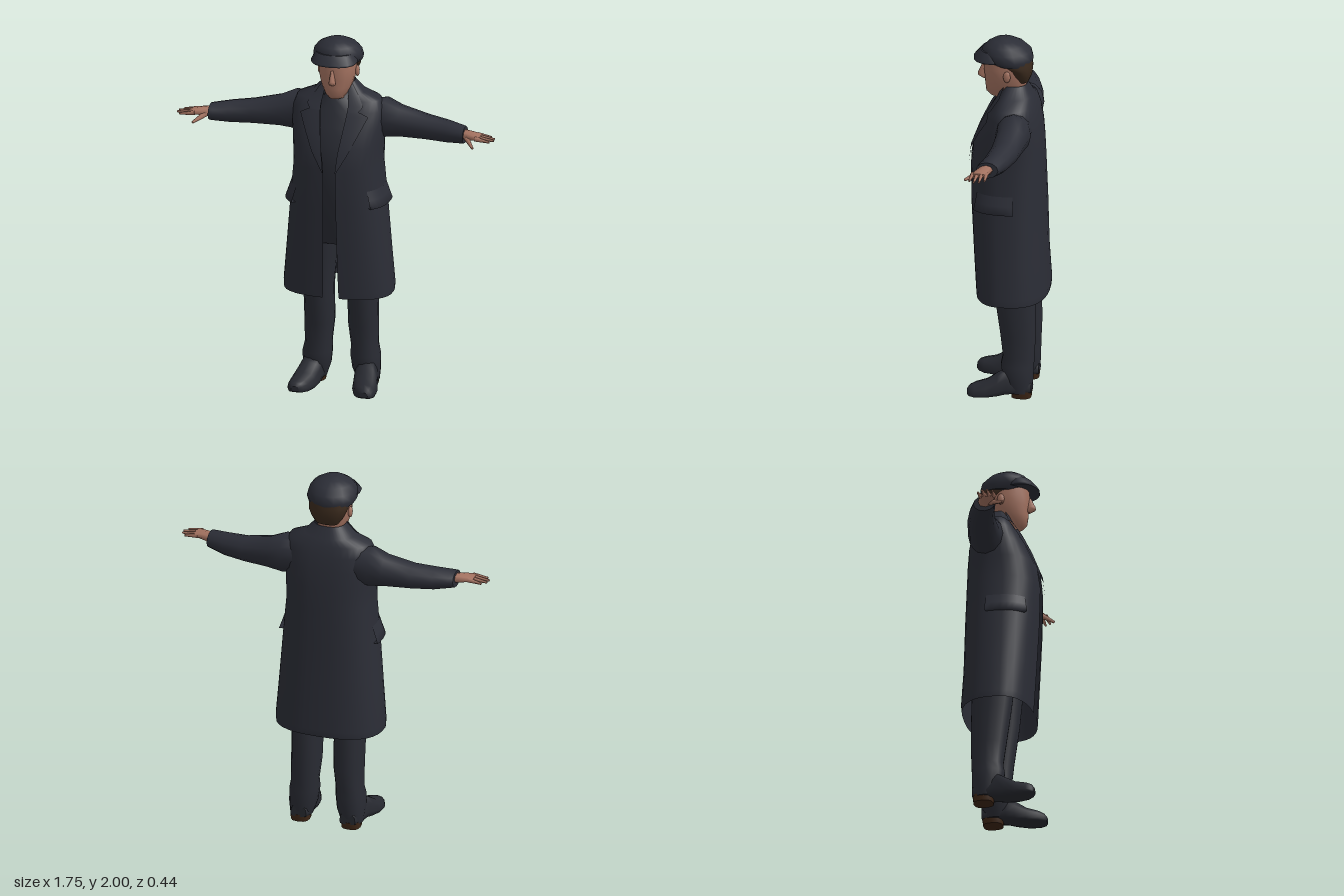
import * as THREE from 'three';

const mat = (name, color, side = THREE.FrontSide) => {
  const m = new THREE.MeshStandardMaterial({ color, side });
  m.name = name;
  return m;
};
const V = (x, y, z) => new THREE.Vector3(x, y, z);
const pw = (v, p) => Math.sign(v) * Math.abs(v) ** p;

// Skin a list of rings; closed rings get end caps and outward faces
function loft(rings, closed = true) {
  const n = rings[0].length, pts = rings.flat(), idx = [];
  for (let i = 0; i < rings.length - 1; i++) {
    for (let j = 0; j < (closed ? n : n - 1); j++) {
      const a = i * n + j, b = i * n + (j + 1) % n;
      idx.push(a, b, a + n, b, b + n, a + n);
    }
  }
  const mid = pts.reduce((s, p) => s.add(p), V(0, 0, 0)).divideScalar(pts.length);
  if (closed) {
    for (const [r, first] of [[rings[0], true], [rings[rings.length - 1], false]]) {
      const c = pts.length;
      pts.push(r.reduce((s, p) => s.add(p), V(0, 0, 0)).divideScalar(n), ...r);
      for (let j = 0; j < n; j++) {
        const a = c + 1 + j, b = c + 1 + (j + 1) % n;
        idx.push(...(first ? [c, b, a] : [c, a, b]));
      }
    }
  }
  let vol = 0;
  for (let k = 0; k < idx.length; k += 3) {
    const [a, b, c] = [0, 1, 2].map(q => pts[idx[k + q]].clone().sub(mid));
    vol += a.dot(b.cross(c));
  }
  if (vol < 0) idx.reverse();
  const g = new THREE.BufferGeometry().setFromPoints(pts);
  g.setIndex(idx);
  g.computeVertexNormals();
  return g;
}

// Upright body from rows of [y, halfWidth, zFront, zBack, xCentre]
const upright = (rows, n = 16, p = 0.9) => loft(rows.map(([y, w, zf, zb, cx = 0]) =>
  Array.from({ length: n }, (_, j) => {
    const a = j / n * Math.PI * 2;
    return V(cx + w * pw(Math.sin(a), p), y, (zf + zb) / 2 + (zf - zb) / 2 * pw(Math.cos(a), p));
  })));

// Sideways limb from rows of [x, yCentre, yRadius, zCentre, zRadius]
const sideways = (rows, s, n = 12) => loft(rows.map(([x, y, ry, z, rz]) =>
  Array.from({ length: n }, (_, j) => {
    const a = j / n * Math.PI * 2;
    return V(s * x, y + ry * Math.cos(a), z + rz * Math.sin(a));
  })));

// Tapered digit between two points
function digit(a, b, r0, r1) {
  const d = b.clone().sub(a);
  const g = new THREE.CylinderGeometry(r1, r0, d.length(), 6);
  g.applyQuaternion(new THREE.Quaternion().setFromUnitVectors(V(0, 1, 0), d.clone().normalize()));
  return g.translate(...a.clone().add(b).multiplyScalar(0.5).toArray());
}

// Coat profile rows: y, halfWidth, zFront, zBack, half opening at the front
const COAT = [
  [0.56, 0.298, 0.18, -0.205, 0.045], [0.6, 0.3, 0.183, -0.21, 0.042],
  [0.8, 0.283, 0.195, -0.197, 0.038], [1.08, 0.26, 0.21, -0.19, 0.034],
  [1.3, 0.24, 0.215, -0.182, 0.032], [1.42, 0.245, 0.2, -0.176, 0.05],
  [1.52, 0.253, 0.155, -0.167, 0.065], [1.6, 0.25, 0.115, -0.152, 0.075],
  [1.655, 0.228, 0.08, -0.135, 0.075], [1.69, 0.14, 0.06, -0.118, 0.07],
  [1.75, 0.085, 0.035, -0.085, 0.06]];
const P = 0.8;
function coatRow(y) {
  let i = 0;
  while (i < COAT.length - 2 && COAT[i + 1][0] < y) i++;
  const t = (y - COAT[i][0]) / (COAT[i + 1][0] - COAT[i][0]);
  return COAT[i].map((v, k) => THREE.MathUtils.lerp(v, COAT[i + 1][k], t));
}
// Point on the coat; angle runs from the middle of the back
function coatPoint(a, y, out = 0) {
  const [, w, zf, zb] = coatRow(y), c = -Math.cos(a);
  return V((w + out) * pw(Math.sin(a), P), y, pw(c, P) * ((c > 0 ? zf : -zb) + out));
}
function coatFrontZ(x, y) {
  const [, w, zf] = coatRow(y), s = Math.min(1, x / w) ** (1 / P);
  return zf * (1 - s * s) ** (P / 2);
}

export function createModel() {
  const model = new THREE.Group();
  model.name = 'manInOvercoat';
  const coat = mat('coat wool', 0x2b2d36, THREE.DoubleSide);
  const suit = mat('suit cloth', 0x292b33);
  const skin = mat('skin', 0xa37260);
  const hair = mat('hair', 0x3a2a1d);
  const leather = mat('shoe leather', 0x272930);
  const sole = mat('heel brown', 0x3d2616);
  const add = (name, geo, m) => {
    const mesh = new THREE.Mesh(geo, m);
    mesh.name = name;
    model.add(mesh);
    return mesh;
  };

  // Overcoat, open down the front
  add('overcoat', loft(COAT.map(([y, w, , , e]) => {
    const end = Math.PI - Math.asin((e / w) ** (1 / P));
    return Array.from({ length: 33 }, (_, j) => coatPoint((j / 16 - 1) * end, y));
  }), false), coat);

  // Suit body seen in the opening
  add('suitBody', upright([
    [0.84, 0.2, 0.1, -0.14], [1.1, 0.2, 0.165, -0.14], [1.3, 0.2, 0.188, -0.14],
    [1.42, 0.2, 0.178, -0.14], [1.52, 0.19, 0.142, -0.13], [1.6, 0.15, 0.108, -0.12],
    [1.66, 0.08, 0.085, -0.09], [1.7, 0.068, 0.05, -0.08]]), suit);

  // Head, neck and nose
  add('head', upright([
    [1.58, 0.058, 0.05, -0.07], [1.665, 0.058, 0.065, -0.07], [1.675, 0.045, 0.115, -0.07],
    [1.7, 0.062, 0.138, -0.075], [1.74, 0.08, 0.143, -0.08], [1.79, 0.095, 0.146, -0.092],
    [1.84, 0.1, 0.152, -0.098], [1.91, 0.098, 0.148, -0.098]], 18), skin);
  add('nose', upright([
    [1.765, 0.014, 0.155, 0.12], [1.78, 0.02, 0.184, 0.12],
    [1.795, 0.015, 0.183, 0.12], [1.85, 0.009, 0.157, 0.12]], 8), skin);
  add('hair', upright([
    [1.765, 0.062, -0.03, -0.095], [1.8, 0.088, -0.005, -0.11],
    [1.84, 0.107, 0.015, -0.115], [1.865, 0.112, 0.06, -0.113], [1.9, 0.11, 0.07, -0.11]]), hair);

  // Flat cap with a short peak
  add('cap', upright([
    [1.868, 0.122, 0.1, -0.11], [1.895, 0.138, 0.15, -0.118], [1.935, 0.13, 0.165, -0.108],
    [1.968, 0.105, 0.135, -0.07], [1.99, 0.065, 0.1, -0.025], [2, 0.02, 0.06, 0.02]], 16, 1), coat);
  add('capPeak', upright([
    [1.886, 0.122, 0.203, 0], [1.897, 0.128, 0.203, 0], [1.94, 0.1, 0.165, 0.02]], 16, 0.9), coat);

  for (const s of [1, -1]) {
    const side = s > 0 ? 'left' : 'right';

    const ear = add(side + 'Ear', new THREE.SphereGeometry(1, 8, 6), skin);
    ear.scale.set(0.012, 0.032, 0.02);
    ear.position.set(s * 0.104, 1.812, 0.012);

    // Lapel and collar: rows of y, inner x, outer x
    add(side + 'Lapel', loft([
      [1.29, 0.033, 0.038], [1.4, 0.045, 0.1], [1.5, 0.06, 0.148], [1.585, 0.072, 0.188],
      [1.605, 0.074, 0.15], [1.61, 0.074, 0.135], [1.635, 0.075, 0.155],
      [1.69, 0.068, 0.118], [1.75, 0.058, 0.078]].map(([y, x0, x1]) =>
      Array.from({ length: 6 }, (_, j) => {
        const x = x0 + (x1 - x0) * j / 5;
        return V(s * x, y, coatFrontZ(x, y) + 0.012);
      })), false), coat);

    // Pocket flap standing off the hip
    add(side + 'PocketFlap', loft([[1.18, 0.002], [1.13, 0.014], [1.085, 0.026], [1.085, 0]].map(([y, out]) =>
      Array.from({ length: 8 }, (_, j) => coatPoint(s * (1.42 + 0.92 * j / 7), y, out))), false), coat);

    // Sleeve
    add(side + 'Sleeve', sideways([
      [0.15, 1.54, 0.095, -0.04, 0.09], [0.25, 1.543, 0.112, -0.045, 0.095],
      [0.33, 1.53, 0.088, -0.04, 0.085], [0.48, 1.515, 0.068, -0.025, 0.076],
      [0.6, 1.51, 0.06, 0, 0.069], [0.68, 1.51, 0.049, 0.025, 0.063],
      [0.705, 1.51, 0.045, 0.032, 0.06]], s), coat);

    // Hand
    add(side + 'Palm', sideways([
      [0.68, 1.512, 0.028, 0.03, 0.034], [0.72, 1.515, 0.025, 0.042, 0.04],
      [0.77, 1.516, 0.018, 0.058, 0.046], [0.8, 1.515, 0.012, 0.062, 0.044]], s, 8), skin);
    [0.85, 0.873, 0.876, 0.858].forEach((tip, j) => add(side + 'Finger' + (j + 1), digit(
      V(s * 0.775, 1.516, 0.026 + 0.024 * j), V(s * tip, 1.507, 0.024 + 0.027 * j), 0.013, 0.006), skin));
    add(side + 'Thumb', digit(V(s * 0.72, 1.507, 0.065), V(s * 0.775, 1.477, 0.143), 0.017, 0.007), skin);

    // Trouser leg
    add(side + 'TrouserLeg', upright([
      [0.03, 0.06, 0.0, -0.125, s * 0.145], [0.1, 0.076, 0.025, -0.137, s * 0.137],
      [0.18, 0.08, 0.04, -0.14, s * 0.132], [0.23, 0.073, 0.03, -0.142, s * 0.128],
      [0.35, 0.08, 0.045, -0.148, s * 0.121], [0.56, 0.081, 0.075, -0.145, s * 0.121],
      [0.75, 0.092, 0.095, -0.14, s * 0.112], [0.95, 0.1, 0.11, -0.13, s * 0.1]]), suit);

    // Shoe: rows of z, x centre, half width, base, height
    add(side + 'Shoe', loft([
      [-0.13, 0.14, 0.045, 0.03, 0.07], [-0.09, 0.143, 0.058, 0.025, 0.11],
      [0, 0.15, 0.063, 0.02, 0.15], [0.05, 0.158, 0.068, 0.012, 0.125],
      [0.11, 0.17, 0.07, 0.008, 0.088], [0.17, 0.182, 0.06, 0.008, 0.072],
      [0.2, 0.188, 0.042, 0.012, 0.055], [0.212, 0.19, 0.022, 0.02, 0.03]].map(([z, x, w, y, h]) =>
      Array.from({ length: 12 }, (_, j) => {
        const a = j / 12 * Math.PI * 2, up = Math.sin(a);
        return V(s * (x + w * pw(Math.cos(a), 0.7)), y + h * (up > 0 ? 0.25 + 0.75 * up : 0.25 + 0.25 * pw(up, 0.4)), z);
      }))), leather);
    add(side + 'Heel', upright([
      [0, 0.05, -0.02, -0.128, s * 0.145], [0.04, 0.054, -0.015, -0.133, s * 0.145]], 12, 0.7), sole);
  }
  return model;
}
